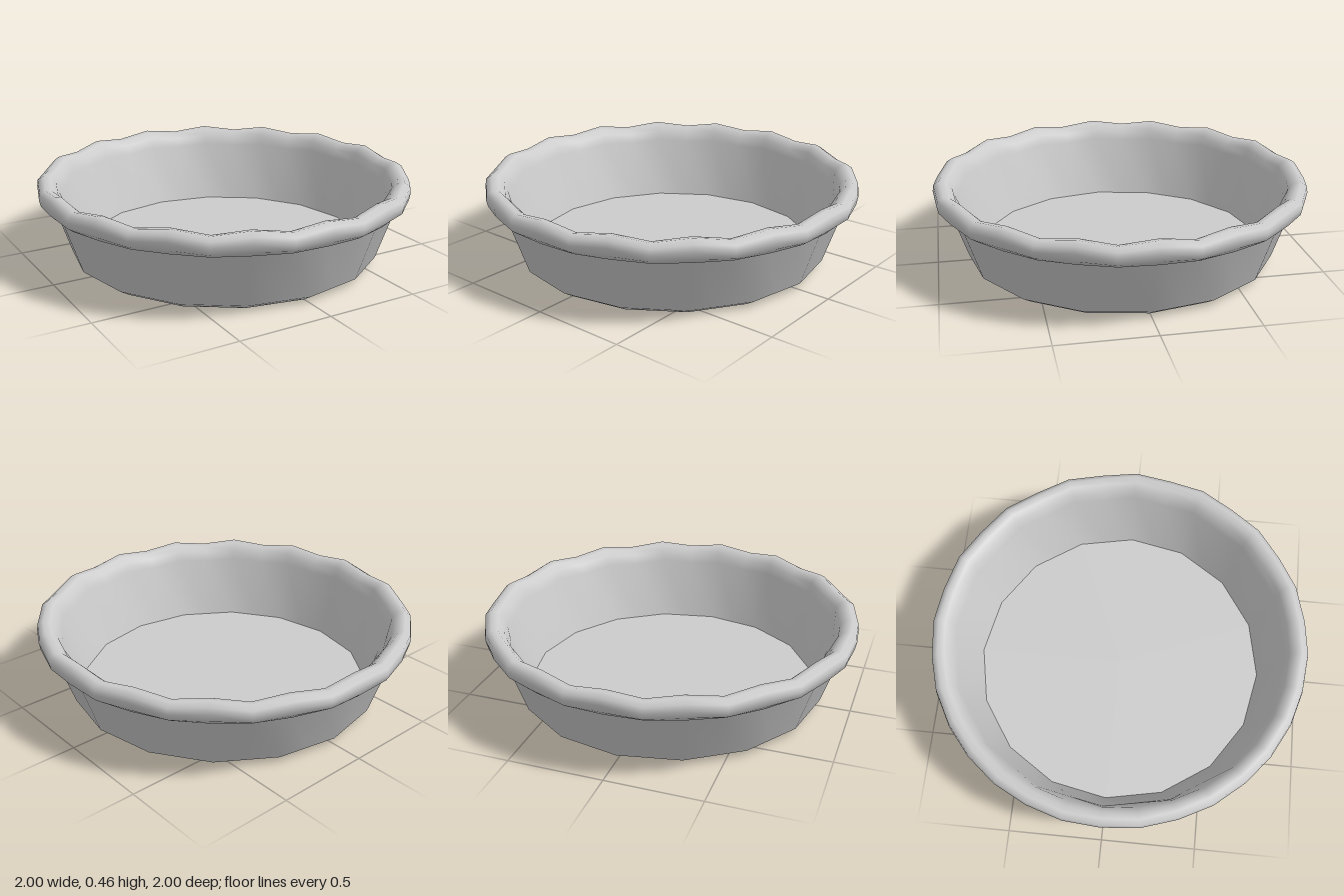
import * as THREE from 'three';

const COLS = 32; // rim columns; the body uses every second one as a corner
const FLOOR_R = 0.78, FLOOR_Y = 0.045;

// Sweeps a profile of [radius, height, isRim, dip] round the y axis with shared, smooth vertices.
// Body rows keep 16 flat sides; rim rows are round and dip between the crests.
function sweep(profile) {
  const pos = [], index = [];
  for (const [r, y, isRim, dip] of profile) {
    for (let j = 0; j < COLS; j++) {
      const a = (j / COLS) * Math.PI * 2, odd = j % 2 === 1;
      const rr = odd && !isRim ? r * Math.cos(Math.PI / 16) : r;
      pos.push(rr * Math.sin(a), odd ? y - dip : y, rr * Math.cos(a));
    }
  }
  for (let i = 0; i < profile.length - 1; i++) {
    for (let j = 0; j < COLS; j++) {
      const k = (j + 1) % COLS;
      const a = i * COLS + j, b = i * COLS + k, c = a + COLS, d = b + COLS;
      if (profile[i][0] > 0) index.push(a, b, c);
      index.push(b, d, c);
    }
  }
  const g = new THREE.BufferGeometry();
  g.setAttribute('position', new THREE.Float32BufferAttribute(pos, 3));
  g.setIndex(index);
  g.computeVertexNormals();
  return g;
}

export function createModel() {
  const group = new THREE.Group();
  group.name = 'pieDish';
  const material = new THREE.MeshStandardMaterial({ color: 0xcccccc });

  // Underside, sloping wall, wavy rolled rim and inner wall
  const shell = new THREE.Mesh(sweep([
    [0, 0, false, 0],
    [0.78, 0, false, 0],
    [0.835, 0.035, false, 0],
    [0.935, 0.335, false, 0],
    [0.965, 0.342, true, 0.004],
    [0.993, 0.37, true, 0.012],
    [1.0, 0.41, true, 0.02],
    [0.995, 0.443, true, 0.022],
    [0.965, 0.463, true, 0.024],
    [0.93, 0.457, true, 0.024],
    [0.9, 0.425, true, 0.02],
    [0.885, 0.37, false, 0.008],
    [FLOOR_R, FLOOR_Y, false, 0],
  ]), material);
  shell.name = 'dishShell';

  // Flat sixteen-sided inner floor
  const floor = new THREE.Mesh(new THREE.CircleGeometry(FLOOR_R, 16).rotateX(-Math.PI / 2), material);
  floor.position.y = FLOOR_Y;
  floor.name = 'innerFloor';

  group.add(shell, floor);
  return group;
}
